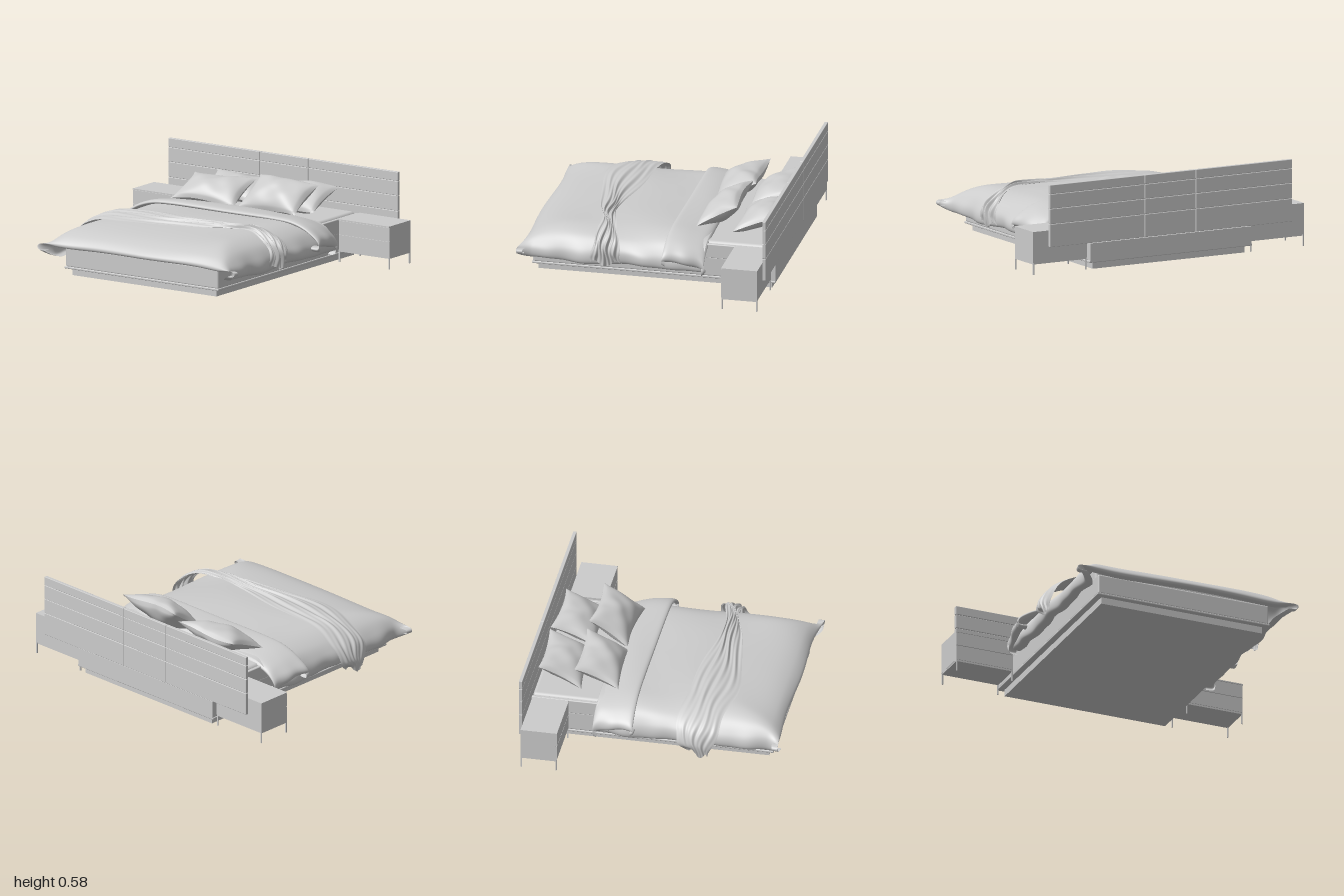
import * as THREE from 'three';
import { RoundedBoxGeometry } from 'three/addons/geometries/RoundedBoxGeometry.js';

const material = new THREE.MeshStandardMaterial({ color: 0xcccccc });
const clothMaterial = new THREE.MeshStandardMaterial({ color: 0xcccccc, side: THREE.DoubleSide });
const { sin, cos, abs, pow, sqrt, PI } = Math;
const smooth = THREE.MathUtils.smoothstep;

// Box given by its limits; r rounds the edges
function box(parent, name, [x0, x1], [y0, y1], [z0, z1], r = 0) {
  const size = [x1 - x0, y1 - y0, z1 - z0];
  const geo = r ? new RoundedBoxGeometry(...size, 3, r) : new THREE.BoxGeometry(...size);
  const mesh = new THREE.Mesh(geo, material);
  mesh.name = name;
  mesh.position.set((x0 + x1) / 2, (y0 + y1) / 2, (z0 + z1) / 2);
  parent.add(mesh);
  return mesh;
}

// Grid bent by a rule: u runs to +x, v runs to +z, both from -1 to 1
function sheet(parent, name, nu, nv, rule) {
  const geo = new THREE.PlaneGeometry(2, 2, nu, nv);
  const p = geo.attributes.position;
  for (let i = 0; i < p.count; i++) p.setXYZ(i, ...rule(p.getX(i), -p.getY(i)));
  geo.computeVertexNormals();
  const mesh = new THREE.Mesh(geo, clothMaterial);
  mesh.name = name;
  parent.add(mesh);
  return mesh;
}

const spline2 = (pts) => new THREE.SplineCurve(pts.map((p) => new THREE.Vector2(...p)));
const spline3 = (pts) => new THREE.CatmullRomCurve3(pts.map((p) => new THREE.Vector3(...p)));

// Half width against drop of the cloth hanging over the bed sides
const sideDrop = spline2([[0, 0], [0.2, 0.001], [0.38, 0.006], [0.52, 0.02], [0.62, 0.06],
  [0.68, 0.12], [0.7, 0.17], [0.69, 0.215], [0.64, 0.22]]);

function addBedBase(group) {
  box(group, 'plinth', [-0.56, 0.56], [0, 0.05], [-0.8, 0.73]);
  box(group, 'frameLip', [-0.6, 0.6], [0.045, 0.06], [-0.83, 0.765], 0.005);
  box(group, 'bedFrame', [-0.595, 0.595], [0.055, 0.19], [-0.81, 0.76], 0.012);
  box(group, 'frameBackRail', [-0.595, 0.595], [0.055, 0.172], [-0.83, -0.8]);
  box(group, 'mattress', [-0.57, 0.57], [0.17, 0.285], [-0.808, 0.66], 0.025);
  for (const s of [-1, 1]) {
    const x = [s * 0.583 - 0.012, s * 0.583 + 0.012];
    box(group, 'sideRail', x, [0.18, 0.275], [-0.81, 0.5], 0.006);
  }
}

// Planks on a thinner core leave narrow grooves on both faces
function addHeadboard(group) {
  const board = new THREE.Group();
  board.name = 'headboard';
  box(board, 'headboardCore', [-0.89, 0.89], [0.18, 0.575], [-0.828, -0.817]);
  const edges = [-0.895, -0.183, 0.194, 0.895], rows = [0.175, 0.325, 0.425, 0.52, 0.58], gap = 0.001;
  for (let r = 0; r < 4; r++) {
    for (let c = 0; c < 3; c++) {
      box(board, 'headboardPlank', [edges[c] + gap, edges[c + 1] - gap],
        [rows[r] + gap, rows[r + 1] - gap], [-0.834, -0.811], 0.003);
    }
  }
  group.add(board);
}

function addNightstand(group, s) {
  const stand = new THREE.Group();
  stand.name = s > 0 ? 'leftNightstand' : 'rightNightstand';
  const cx = s * 0.802;
  const span = (h) => [cx - h, cx + h];
  box(stand, 'nightstandBody', span(0.198), [0.078, 0.278], [-0.802, -0.573]);
  box(stand, 'lowerDrawer', span(0.196), [0.08, 0.178], [-0.575, -0.566]);
  box(stand, 'upperDrawer', span(0.196), [0.182, 0.27], [-0.575, -0.566]);
  box(stand, 'nightstandTop', span(0.198), [0.272, 0.28], [-0.802, -0.565]);
  box(stand, 'legRail', span(0.196), [0.068, 0.08], [-0.798, -0.57]);
  for (const dx of [-0.193, 0.193]) {
    for (const z of [-0.797, -0.571]) {
      box(stand, 'nightstandLeg', [cx + dx - 0.004, cx + dx + 0.004], [0, 0.08], [z - 0.004, z + 0.004]);
    }
  }
  group.add(stand);
}

function addDuvet(group) {
  const length = spline2([[-0.38, 0.305], [-0.2, 0.325], [0.05, 0.335], [0.3, 0.33], [0.5, 0.322],
    [0.65, 0.3], [0.75, 0.265], [0.805, 0.22], [0.805, 0.192], [0.768, 0.185]]);
  sheet(group, 'duvet', 100, 100, (u, v) => {
    const a = sideDrop.getPoint(abs(u)), b = length.getPoint((v + 1) / 2);
    const dz = 0.335 - b.y;
    // Side and foot drops blend into each other, and the foot corners flare out
    const drop = pow(pow(a.y, 4) + pow(dz < 0 ? 0 : dz, 4), 0.25);
    const corner = smooth(abs(u), 0.5, 0.85) * smooth(v, 0.3, 0.75);
    const hang = smooth(a.y, 0.05, 0.2);
    const wave = sin(b.x * 17 + u * 2) * 0.6 + sin(b.x * 31 + 1) * 0.4;
    const x = a.x + corner * 0.07 + hang * wave * 0.011;
    const y = 0.335 - drop + corner * 0.055 + 0.004 * sin(a.x * u * 13 + b.x * 9)
      + 0.006 * hang * sin(b.x * 11);
    const footHang = smooth(dz, 0.05, 0.14);
    return [Math.sign(u) * x, y, b.x + corner * 0.025 + footHang * 0.007 * sin(u * 11 + 1)];
  });

  // Turned-back top edge of the duvet
  const fold = spline2([[-0.37, 0.272], [-0.388, 0.297], [-0.35, 0.325], [-0.25, 0.346],
    [-0.16, 0.353], [-0.127, 0.348], [-0.12, 0.334], [-0.14, 0.32]]);
  sheet(group, 'duvetFold', 90, 36, (u, v) => {
    const a = sideDrop.getPoint(abs(u)), b = fold.getPoint((v + 1) / 2);
    const hang = smooth(a.y, 0.03, 0.2), front = smooth(b.x, -0.38, -0.12);
    const x = a.x * 1.035 + hang * (0.035 * front + 0.006 * sin(b.x * 40));
    return [Math.sign(u) * x, b.y - a.y * (0.82 - 0.08 * front) + 0.003 * sin(u * 9 + b.x * 15),
      b.x - 0.008 * front * cos(u * 2)];
  });
}

// Throw blanket between a back and a front edge, gathered into ridges
function addThrow(group) {
  const back = spline3([[-0.735, 0.09, 0.25], [-0.765, 0.16, 0.17], [-0.72, 0.25, 0.155], [-0.6, 0.325, 0.165],
    [-0.4, 0.35, 0.18], [-0.1, 0.357, 0.21], [0.2, 0.36, 0.245], [0.42, 0.365, 0.265],
    [0.56, 0.36, 0.215], [0.66, 0.3, 0.185], [0.71, 0.22, 0.165], [0.705, 0.135, 0.155]]);
  const front = spline3([[-0.76, 0.065, 0.37], [-0.755, 0.15, 0.4], [-0.71, 0.24, 0.43], [-0.58, 0.31, 0.455],
    [-0.36, 0.338, 0.49], [-0.08, 0.343, 0.465], [0.2, 0.348, 0.4], [0.42, 0.355, 0.345],
    [0.56, 0.345, 0.325], [0.66, 0.285, 0.335], [0.71, 0.215, 0.355], [0.705, 0.125, 0.35]]);
  sheet(group, 'throwBlanket', 110, 70, (u, v) => {
    const t = (u + 1) / 2, w = (v + 1) / 2;
    const p = back.getPoint(t).lerp(front.getPoint(t), w);
    const gather = 0.35 + 0.65 * smooth(u, -0.6, 0.4);
    const ridge = 0.6 * sin(w * 26 + u * 4) + 0.4 * sin(w * 47 - u * 7);
    const crown = sin(PI * w) * 0.014;
    const lift = crown + 0.013 * gather * ridge * (0.3 + 0.7 * sin(PI * w));
    const side = smooth(abs(p.x), 0.5, 0.7);
    // Ridges push up on top of the bed and outward along its sides
    return [p.x + Math.sign(p.x) * side * (lift * 1.2 + 0.006),
      p.y + lift * (1 - side * 0.6) + side * 0.02 * sin(w * 9) * smooth(abs(u), 0.85, 1),
      p.z + 0.008 * sin(u * 15 + w * 6)];
  });
}

function addPillow(group, name, [x, y, z], width, depth, thick, tilt, turn, seed) {
  const pillow = new THREE.Group();
  pillow.name = name;
  for (const face of [1, -1]) {
    sheet(pillow, 'pillowFace', 36, 30, (u, v) => {
      // Edges draw in between the pointed corners
      const px = u * width / 2 * (1 - 0.1 * (1 - v * v));
      const pz = v * depth / 2 * (1 - 0.12 * (1 - u * u));
      const puff = pow((1 - u * u) * (1 - v * v), 0.55);
      const crease = 1 + 0.09 * sin(u * 6 + seed) * cos(v * 4 + seed * 2)
        - 0.18 * Math.exp(-pow((u - 0.25 * sin(seed)) * 5, 2)) * smooth(-v, 0, 0.8);
      const sag = 0.012 * sin(u * 2.5 + seed) * v;
      return [px, face * thick / 2 * puff * crease + sag, pz];
    });
  }
  pillow.position.set(x, y, z);
  pillow.rotation.set(tilt, turn, 0, 'YXZ');
  group.add(pillow);
}

export function createModel() {
  const group = new THREE.Group();
  group.name = 'bed';
  addBedBase(group);
  addHeadboard(group);
  for (const s of [-1, 1]) addNightstand(group, s);
  addDuvet(group);
  addThrow(group);
  addPillow(group, 'backRightPillow', [-0.25, 0.365, -0.655], 0.47, 0.31, 0.14, 0.38, 0.03, 1);
  addPillow(group, 'backLeftPillow', [0.225, 0.37, -0.655], 0.45, 0.31, 0.14, 0.42, -0.02, 4);
  addPillow(group, 'frontRightPillow', [-0.26, 0.395, -0.415], 0.48, 0.31, 0.15, 0.4, 0.03, 2.5);
  addPillow(group, 'frontLeftPillow', [0.235, 0.415, -0.42], 0.47, 0.31, 0.16, 0.6, -0.03, 5.5);
  return group;
}
